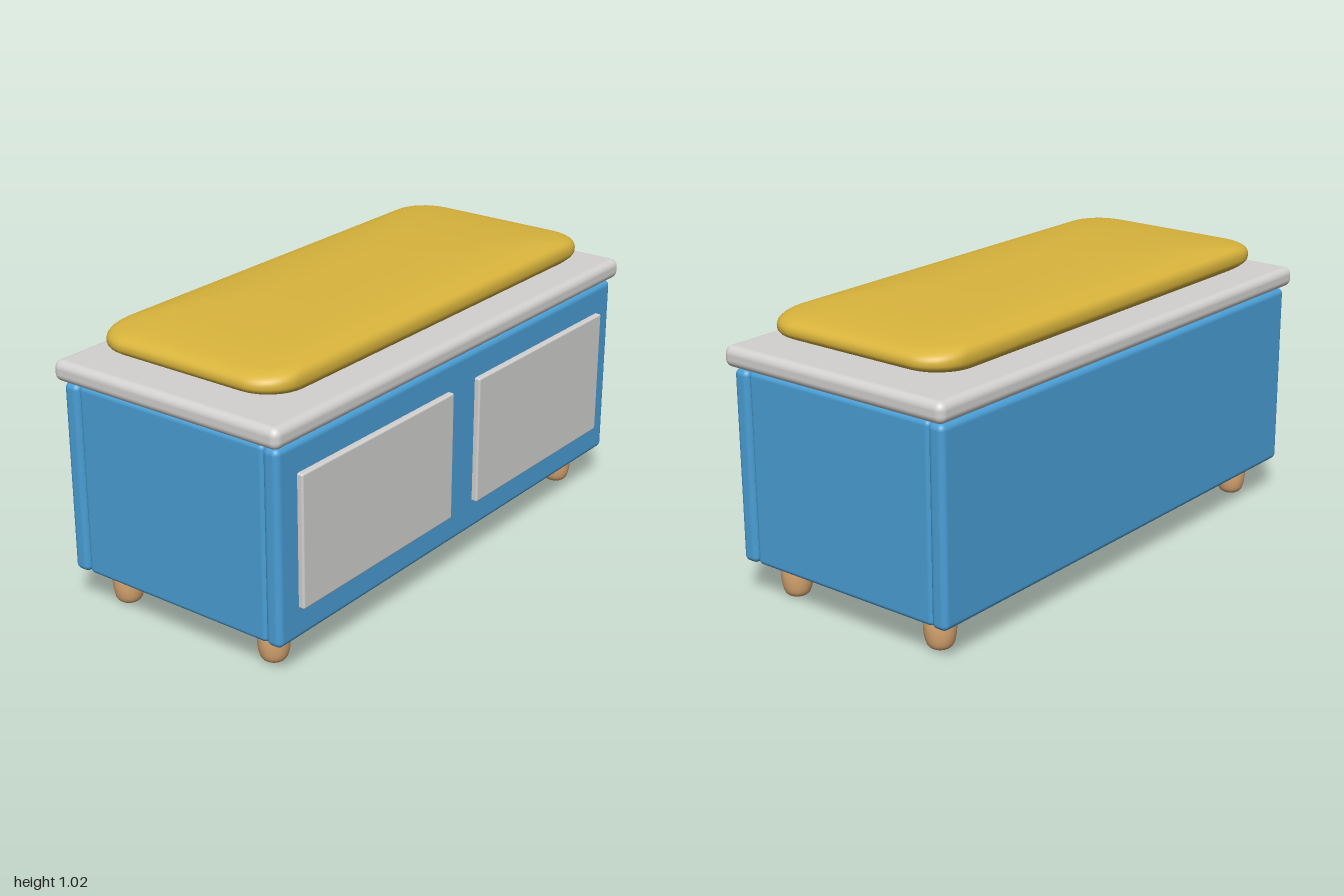
import * as THREE from 'three';
import { RoundedBoxGeometry } from 'three/addons/geometries/RoundedBoxGeometry.js';

const mat = (name, color) => {
  const m = new THREE.MeshStandardMaterial({ color });
  m.name = name;
  return m;
};

// Pillow made of rounded-rectangle rings that scale along a side profile
function cushionGeometry(halfX, halfZ, corner, profile) {
  const outline = [];
  const cornerSteps = 8, edgeSteps = 6;
  const centres = [[1, 1], [-1, 1], [-1, -1], [1, -1]];
  centres.forEach(([sx, sz], q) => {
    for (let i = 0; i <= cornerSteps; i++) {
      const a = (q + i / cornerSteps) * Math.PI / 2;
      outline.push([
        sx * (halfX - corner) + corner * Math.cos(a),
        sz * (halfZ - corner) + corner * Math.sin(a),
      ]);
    }
    // points along the straight edge to the next corner
    const [x0, z0] = outline[outline.length - 1];
    const [nx, nz] = centres[(q + 1) % 4];
    const a = (q + 1) * Math.PI / 2;
    const x1 = nx * (halfX - corner) + corner * Math.cos(a);
    const z1 = nz * (halfZ - corner) + corner * Math.sin(a);
    for (let i = 1; i < edgeSteps; i++) {
      const t = i / edgeSteps;
      outline.push([x0 + (x1 - x0) * t, z0 + (z1 - z0) * t]);
    }
  });

  const curve = new THREE.CatmullRomCurve3(
    profile.map(([s, y]) => new THREE.Vector3(s, y, 0)), false, 'centripetal');
  const rings = curve.getPoints(40);
  const n = outline.length, positions = [], index = [];
  for (const p of rings)
    for (const [x, z] of outline) positions.push(x * p.x, p.y, z * p.x);
  for (let r = 0; r < rings.length - 1; r++)
    for (let i = 0; i < n; i++) {
      const a = r * n + i, b = r * n + (i + 1) % n;
      index.push(a, a + n, b, b, a + n, b + n);
    }
  // close the bottom and top
  const bottom = positions.length / 3, top = bottom + 1, last = (rings.length - 1) * n;
  positions.push(0, rings[0].y, 0, 0, rings[rings.length - 1].y, 0);
  for (let i = 0; i < n; i++) {
    const j = (i + 1) % n;
    index.push(bottom, i, j, top, last + j, last + i);
  }
  const g = new THREE.BufferGeometry();
  g.setAttribute('position', new THREE.Float32BufferAttribute(positions, 3));
  g.setIndex(index);
  g.computeVertexNormals();
  return g;
}

export function createModel() {
  const blue = mat('blue paint', 0x4a9fd6);
  const grey = mat('pale grey', 0xd3d2d0);
  const gold = mat('gold fabric', 0xd9b43c);
  const wood = mat('light wood', 0xd9a771);

  const model = new THREE.Group();
  model.name = 'storageBench';
  const add = (name, geometry, material, x = 0, y = 0, z = 0) => {
    const mesh = new THREE.Mesh(geometry, material);
    mesh.name = name;
    mesh.position.set(x, y, z);
    model.add(mesh);
    return mesh;
  };

  // Chest: core whose ends sit just inside the front and back panels
  add('chestBody', new RoundedBoxGeometry(1.935, 0.68, 0.775, 4, 0.018), blue, 0, 0.47, 0);
  const panel = new RoundedBoxGeometry(1.95, 0.68, 0.062, 4, 0.022);
  add('frontPanel', panel, blue, 0, 0.47, 0.417);
  add('backPanel', panel, blue, 0, 0.47, -0.417);

  // Lid
  add('lid', new RoundedBoxGeometry(2, 0.073, 0.935, 5, 0.028), grey, 0, 0.853, 0);

  // Doors
  const door = new RoundedBoxGeometry(0.805, 0.465, 0.04, 3, 0.007);
  add('leftDoor', door, grey, 0.478, 0.473, 0.449);
  add('rightDoor', door, grey, -0.478, 0.473, 0.449);

  // Cushion
  add('cushion', cushionGeometry(0.91, 0.381, 0.13, [
    [0.01, 0.888], [0.7, 0.889], [0.86, 0.901], [0.96, 0.918], [0.997, 0.938],
    [0.997, 0.964], [0.97, 0.984], [0.87, 1.0], [0.66, 1.013], [0.35, 1.021], [0.01, 1.022],
  ]), gold);

  // Feet
  const footProfile = new THREE.SplineCurve([
    [0, 0], [0.028, 0.002], [0.044, 0.016], [0.052, 0.045],
    [0.055, 0.08], [0.053, 0.11], [0.047, 0.138],
  ].map(([r, y]) => new THREE.Vector2(r, y))).getPoints(20);
  footProfile.forEach((p) => { p.x = Math.max(p.x, 0); p.y = Math.max(p.y, 0); });
  const foot = new THREE.LatheGeometry(footProfile, 24);
  for (const [side, x] of [['Left', 0.853], ['Right', -0.853]])
    for (const [end, z] of [['front', 0.32], ['back', -0.32]])
      add(`${end}${side}Foot`, foot, wood, x, 0, z);

  return model;
}
